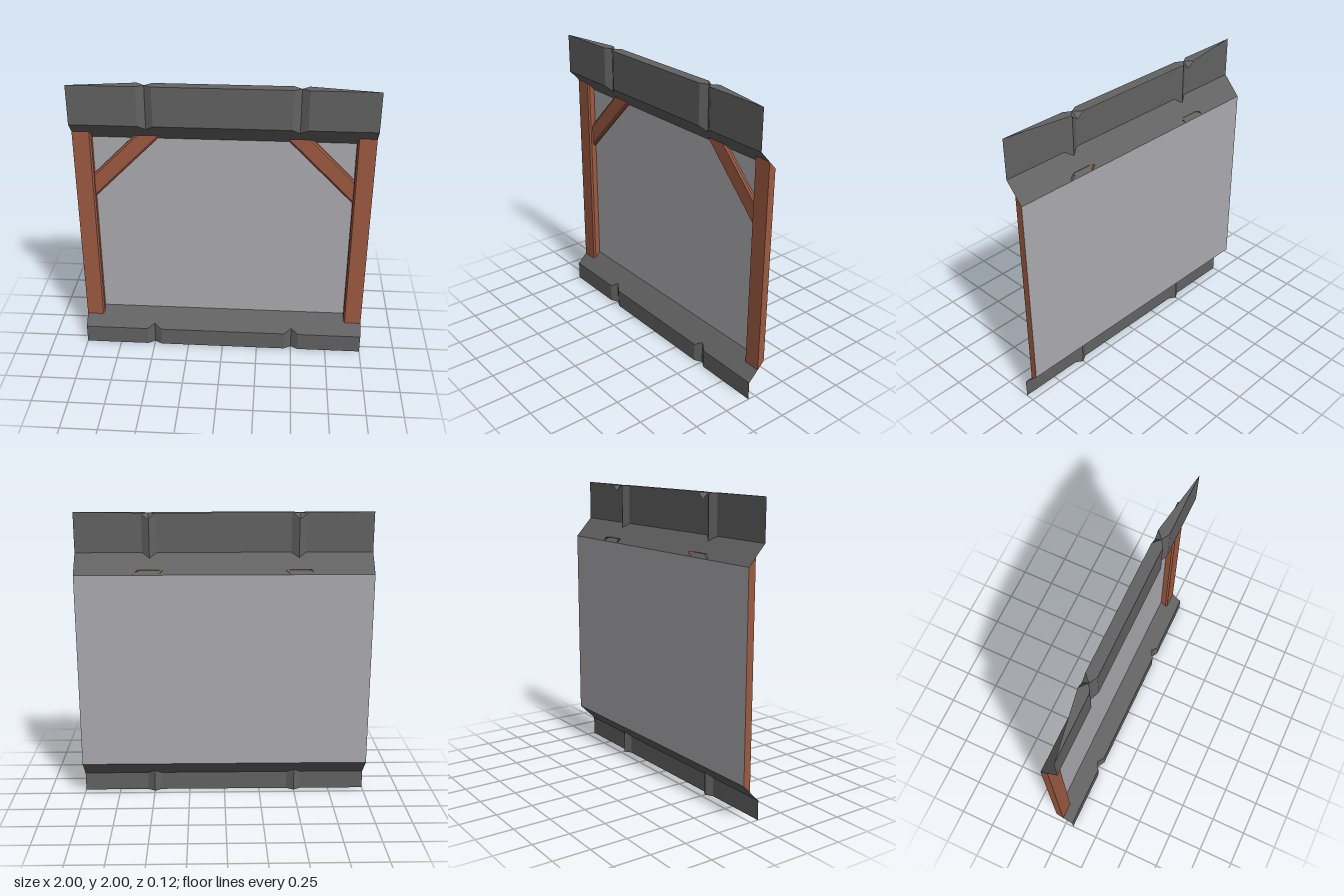
import * as THREE from 'three';

const mat = (name, color) => {
  const m = new THREE.MeshStandardMaterial({ color, side: THREE.DoubleSide });
  m.name = name;
  return m;
};

// Flat-faced surface lofted between matching rows of points, plus extra triangles
function loft(name, rows, material, triangles = []) {
  const pos = [];
  const tri = (a, b, c) => {
    const ab = new THREE.Vector3(...b).sub(new THREE.Vector3(...a));
    const ac = new THREE.Vector3(...c).sub(new THREE.Vector3(...a));
    if (ab.cross(ac).length() > 1e-7) pos.push(...a, ...b, ...c);
  };
  for (let i = 0; i < rows.length - 1; i++) {
    for (let j = 0; j < rows[i].length - 1; j++) {
      const a = rows[i][j], b = rows[i + 1][j], c = rows[i + 1][j + 1], d = rows[i][j + 1];
      tri(a, b, c);
      tri(a, c, d);
    }
  }
  triangles.forEach((t) => tri(...t));
  const g = new THREE.BufferGeometry();
  g.setAttribute('position', new THREE.Float32BufferAttribute(pos, 3));
  g.computeVertexNormals();
  const mesh = new THREE.Mesh(g, material);
  mesh.name = name;
  return mesh;
}

const FRONT = 0.06, BACK = -0.06, NOTCH = 0.03, CAP = -0.015;
const sillY = (z) => 0.13 + (FRONT - z);                 // sloped ledge of the base
const lintelY = (z) => 1.73 - (FRONT - z) * (0.13 / 0.12); // sloped soffit of the top

export function createModel() {
  const group = new THREE.Group();
  const stone = mat('dark stone', 0x626262);
  const plaster = mat('light plaster', 0xacacb1);
  const wood = mat('brown wood', 0x9d5a41);

  // Stations along x: [x, front z, rear z of the top cap], with V joints at +-0.5
  const half = [[0.45, FRONT, CAP], [0.5, NOTCH, NOTCH], [0.55, FRONT, CAP], [1, FRONT, FRONT]];
  const stations = [...half.map(([x, f, b]) => [-x, f, b]).reverse(), ...half];

  // Base course with its sloped ledge
  group.add(loft('baseCourse', stations.map(([x, f]) => [
    [x, 0, f], [x, sillY(f), f], [x, 0.25, BACK],
  ]), stone));

  // Top course with soffit, face, thin cap and the notch ends
  const notchEnds = [];
  for (const c of [-0.5, 0.5]) {
    const tip = [c, 2, NOTCH], low = [c, 1.96, CAP];
    notchEnds.push([[c - 0.05, 2, CAP], tip, low], [tip, [c + 0.05, 2, CAP], low]);
  }
  group.add(loft('topCourse', stations.map(([x, f, b]) => [
    [x, 1.6, BACK], [x, lintelY(f), f], [x, 2, f], [x, 2, b],
  ]), stone, notchEnds));

  // Recessed wall panel
  group.add(loft('wallPanel', [-1, 1].map((x) => [[x, 0.25, BACK], [x, 1.6, BACK]]), plaster));

  for (const s of [-1, 1]) {
    const side = s > 0 ? 'left' : 'right';
    // Keep faces outward on both sides by reversing the row order when mirrored
    const order = (rows) => (s > 0 ? rows : rows.reverse());

    // Upright post, chamfered on its inner edge, ends cut along the slopes
    const postProfile = [[0.875, BACK], [0.875, -0.022], [0.885, -0.01], [1, -0.01], [1, BACK]];
    group.add(loft(side + 'Post', order(postProfile.map(([x, z]) => [
      [s * x, sillY(z), z], [s * x, lintelY(z), z],
    ])), wood));

    // Diagonal brace with chamfered edges, open at the top end
    const braceProfile = [[0, BACK], [0, -0.046], [0.018, -0.035],
      [0.155, -0.035], [0.17, -0.046], [0.17, BACK]];
    const topY = 1.63;
    group.add(loft(side + 'Brace', order(braceProfile.map(([d, z]) => [
      [s * 0.88, 1.16 + d, z], [s * (0.88 - (topY - 1.16 - d)), topY, z],
    ])), wood));
  }
  return group;
}
